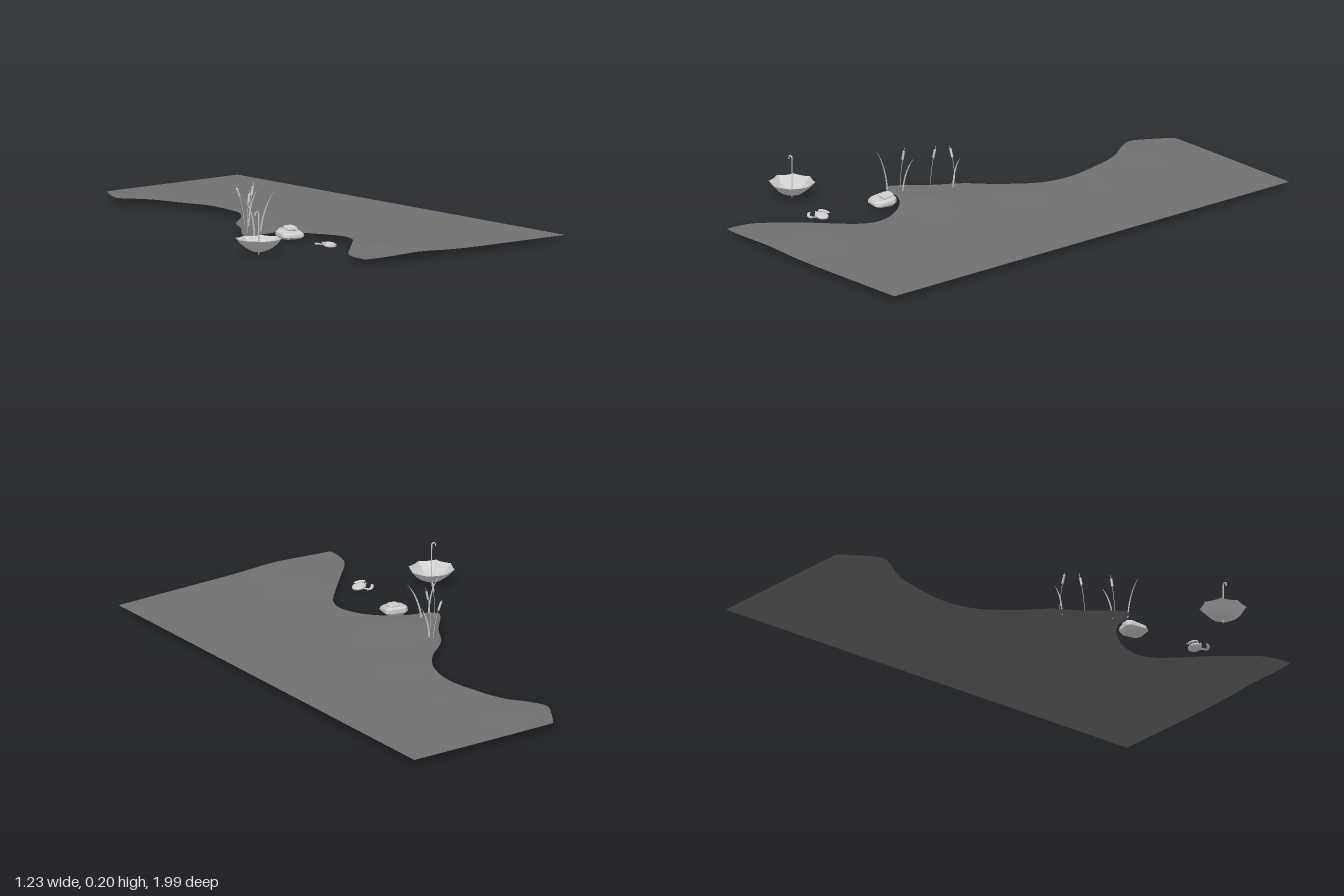
import * as THREE from 'three';
import { ConvexGeometry } from 'three/addons/geometries/ConvexGeometry.js';

const smooth = new THREE.MeshStandardMaterial({ color: 0xcccccc, side: THREE.DoubleSide });
const faceted = new THREE.MeshStandardMaterial({ color: 0xcccccc, side: THREE.DoubleSide, flatShading: true });
const earth = new THREE.MeshStandardMaterial({ color: 0x707070, side: THREE.DoubleSide });
const V = (x, y, z) => new THREE.Vector3(x, y, z);

function add(parent, name, geometry, material = smooth, x = 0, y = 0, z = 0) {
  const mesh = new THREE.Mesh(geometry, material);
  mesh.name = name;
  mesh.position.set(x, y, z);
  parent.add(mesh);
  return mesh;
}

function tube(points, radius, segments = 16, sides = 6) {
  return new THREE.TubeGeometry(new THREE.CatmullRomCurve3(points), segments, radius, sides);
}

// Surface from a rule: point(u, v) for a grid of columns and rows
function surface(columns, rows, point) {
  const positions = [], index = [];
  for (let j = 0; j <= rows; j++) {
    for (let i = 0; i <= columns; i++) positions.push(...point(i / columns, j / rows).toArray());
  }
  for (let j = 0; j < rows; j++) {
    for (let i = 0; i < columns; i++) {
      const a = j * (columns + 1) + i, b = a + columns + 1;
      index.push(a, b, a + 1, a + 1, b, b + 1);
    }
  }
  const g = new THREE.BufferGeometry();
  g.setAttribute('position', new THREE.Float32BufferAttribute(positions, 3));
  g.setIndex(index);
  g.computeVertexNormals();
  return g;
}

// Land with a wavy shoreline on one side and low swells near the water
function bank() {
  const shore = [
    [-0.045, -0.985], [-0.09, -0.91], [-0.125, -0.825], [-0.09, -0.755], [-0.04, -0.68], [0, -0.555],
    [0.028, -0.41], [0, -0.25], [-0.065, -0.15], [-0.18, -0.04], [-0.245, 0.07], [-0.33, 0.18],
    [-0.34, 0.21], [-0.3, 0.24], [-0.225, 0.255], [-0.155, 0.3], [-0.09, 0.39], [-0.065, 0.475],
    [-0.085, 0.545], [-0.155, 0.63], [-0.26, 0.745], [-0.35, 0.85], [-0.372, 0.915], [-0.375, 0.978]];
  // Swells: x, z, height
  const swells = [[-0.12, 0.19, 0.014], [-0.1, 0.77, 0.012], [-0.12, 0.95, 0.009],
    [0.05, -0.15, 0.007], [0.12, -0.48, 0.004], [0.02, -0.78, 0.007]];
  const curve = new THREE.CatmullRomCurve3(shore.map(([x, z]) => V(x, 0, z)));
  return surface(32, 120, (u, v) => {
    const p = curve.getPoint(v);
    const x = p.x + (0.613 - p.x) * Math.pow(u, 1.5);
    const end = Math.max(0, Math.abs(v - 0.5) * 2 - 0.96) / 0.04;
    const z = p.z + end * (v < 0.5 ? -0.015 * u : 0.015 * Math.sin(Math.PI * u));
    let y = 0.0215;
    for (const [sx, sz, h] of swells) y += h * Math.exp(-(((x - sx) / 0.13) ** 2) - ((z - sz) / 0.1) ** 2);
    return V(x, y, z);
  });
}

// Upturned umbrella with eight panels, floating on its canopy
function umbrella() {
  const g = new THREE.Group();
  g.name = 'umbrella';
  const R = 0.09, ribs = 8;
  const ribY = t => 0.012 + 0.053 * Math.pow(t, 2.1);
  for (let k = 0; k < ribs; k++) {
    const a0 = (k * 2 * Math.PI) / ribs, a1 = a0 + (2 * Math.PI) / ribs;
    add(g, 'canopyPanel', surface(6, 8, (u, t) => {
      const sag = 4 * u * (1 - u) * t;
      const r = R * t * (1 - 0.015 * sag);
      const x = r * THREE.MathUtils.lerp(Math.cos(a0), Math.cos(a1), u);
      const z = r * THREE.MathUtils.lerp(Math.sin(a0), Math.sin(a1), u);
      return V(x, ribY(t) - 0.002 * sag, z);
    }));
    const points = [0, 0.25, 0.5, 0.75, 1].map(t => V(R * t * Math.cos(a0), ribY(t) + 0.0005, R * t * Math.sin(a0)));
    add(g, 'rib', tube(points, 0.0007, 10, 5));
  }
  add(g, 'shaft', new THREE.CylinderGeometry(0.0022, 0.0022, 0.148, 8), smooth, 0, 0.084, 0);
  add(g, 'ferrule', new THREE.CylinderGeometry(0.003, 0.001, 0.013, 8), smooth, 0, 0.0065, 0);
  const crook = [V(0, 0.145, 0), V(0, 0.158, 0)];
  for (let i = 1; i <= 6; i++) {
    const a = (i * Math.PI) / 6;
    crook.push(V(-0.009 + 0.009 * Math.cos(a), 0.158 + 0.009 * Math.sin(a), 0));
  }
  crook.push(V(-0.0175, 0.152, 0));
  add(g, 'handle', tube(crook, 0.0026, 24, 8));
  g.position.set(-0.528, 0, 0.523);
  return g;
}

// Block with cut corners, narrower at the base and top, its top tilted towards the front
function block(width, height, depth, tilt) {
  const points = [];
  for (const [level, size] of [[0, 0.78], [0.35, 1], [0.75, 0.97], [1, 0.82]]) {
    for (const sx of [-1, 1]) {
      for (const sz of [-1, 1]) {
        for (const [cx, cz] of [[1, 0.65], [0.65, 1]]) {
          const z = sz * cz * size * depth / 2;
          points.push(V(sx * cx * size * width / 2, level * (height - tilt * z), z));
        }
      }
    }
  }
  return new ConvexGeometry(points);
}

// Boulder with a smaller stone resting on it
function rock() {
  const g = new THREE.Group();
  g.name = 'rock';
  add(g, 'boulder', block(0.092, 0.03, 0.094, 0.18), faceted, -0.219, 0.013, 0.333).rotation.y = -0.2;
  add(g, 'topStone', block(0.046, 0.018, 0.05, 0.12), faceted, -0.208, 0.039, 0.322).rotation.y = -0.15;
  return g;
}

// Small crab with two curved claws
function crab() {
  const g = new THREE.Group();
  g.name = 'crab';
  const body = add(g, 'body', new THREE.SphereGeometry(1, 20, 14), smooth, 0, 0.024, 0);
  body.scale.set(0.029, 0.011, 0.026);
  body.rotation.z = -0.15;
  for (const s of [-1, 1]) {
    add(g, 'eye', new THREE.SphereGeometry(0.004, 10, 8), smooth, -0.025, 0.033, s * 0.008);
    add(g, 'arm', tube([V(-0.005, 0.022, s * 0.022), V(-0.01, 0.022, s * 0.032), V(-0.016, 0.023, s * 0.039)], 0.003, 8, 6));
    // Claw: crescent tapering to both ends
    const arc = new THREE.CatmullRomCurve3([V(-0.007, 0.022, s * 0.046), V(-0.027, 0.024, s * 0.042),
      V(-0.041, 0.027, s * 0.03), V(-0.043, 0.029, s * 0.02)]);
    add(g, 'claw', surface(8, 14, (u, t) => {
      const p = arc.getPoint(t), d = arc.getTangent(t), a = u * 2 * Math.PI * -s;
      const r = 0.0065 * Math.pow(Math.sin(Math.PI * (0.04 + 0.92 * t)), 0.6);
      return V(p.x - d.z * r * Math.cos(a), p.y + r * 0.8 * Math.sin(a), p.z + d.x * r * Math.cos(a));
    }));
  }
  g.position.set(-0.25, 0, 0.61);
  return g;
}

// Cattail: thin stem with a thick seed head and a spike above
function cattail(base, middle, tip) {
  const g = new THREE.Group();
  g.name = 'cattail';
  const curve = new THREE.QuadraticBezierCurve3(base, middle, tip);
  add(g, 'stem', new THREE.TubeGeometry(curve, 14, 0.0011, 5));
  const head = add(g, 'seedHead', new THREE.CapsuleGeometry(0.0045, 0.03, 4, 8));
  head.position.copy(curve.getPoint(0.82));
  head.quaternion.setFromUnitVectors(V(0, 1, 0), curve.getTangent(0.82));
  return g;
}

// Grass blade: flat tapering ribbon along a bend
function blade(base, middle, tip) {
  const curve = new THREE.QuadraticBezierCurve3(base, middle, tip);
  return surface(1, 14, (u, t) => {
    const p = curve.getPoint(t), d = curve.getTangent(t);
    const w = 0.008 * (u - 0.5) * (1 - Math.pow(t, 2.5));
    return V(p.x + d.y * w, p.y - d.x * w, p.z);
  });
}

export function createModel() {
  const model = new THREE.Group();
  model.name = 'shoreline';
  add(model, 'bank', bank(), earth);
  model.add(umbrella(), crab(), rock());

  const cattails = [
    [V(-0.3, 0.022, 0.175), V(-0.3, 0.09, 0.172), V(-0.282, 0.188, 0.168)],
    [V(-0.222, 0.03, 0.088), V(-0.222, 0.1, 0.088), V(-0.194, 0.2, 0.085)],
    [V(-0.175, 0.022, 0.005), V(-0.18, 0.11, 0.002), V(-0.213, 0.172, 0)]];
  for (const points of cattails) model.add(cattail(...points));

  const blades = [
    [V(-0.31, 0.016, 0.23), V(-0.315, 0.12, 0.233), V(-0.37, 0.168, 0.237)],
    [V(-0.255, 0.022, 0.2), V(-0.245, 0.11, 0.2), V(-0.188, 0.178, 0.2)],
    [V(-0.168, 0.018, 0.022), V(-0.165, 0.105, 0.021), V(-0.124, 0.156, 0.02)]];
  for (const points of blades) add(model, 'grassBlade', blade(...points));
  return model;
}
